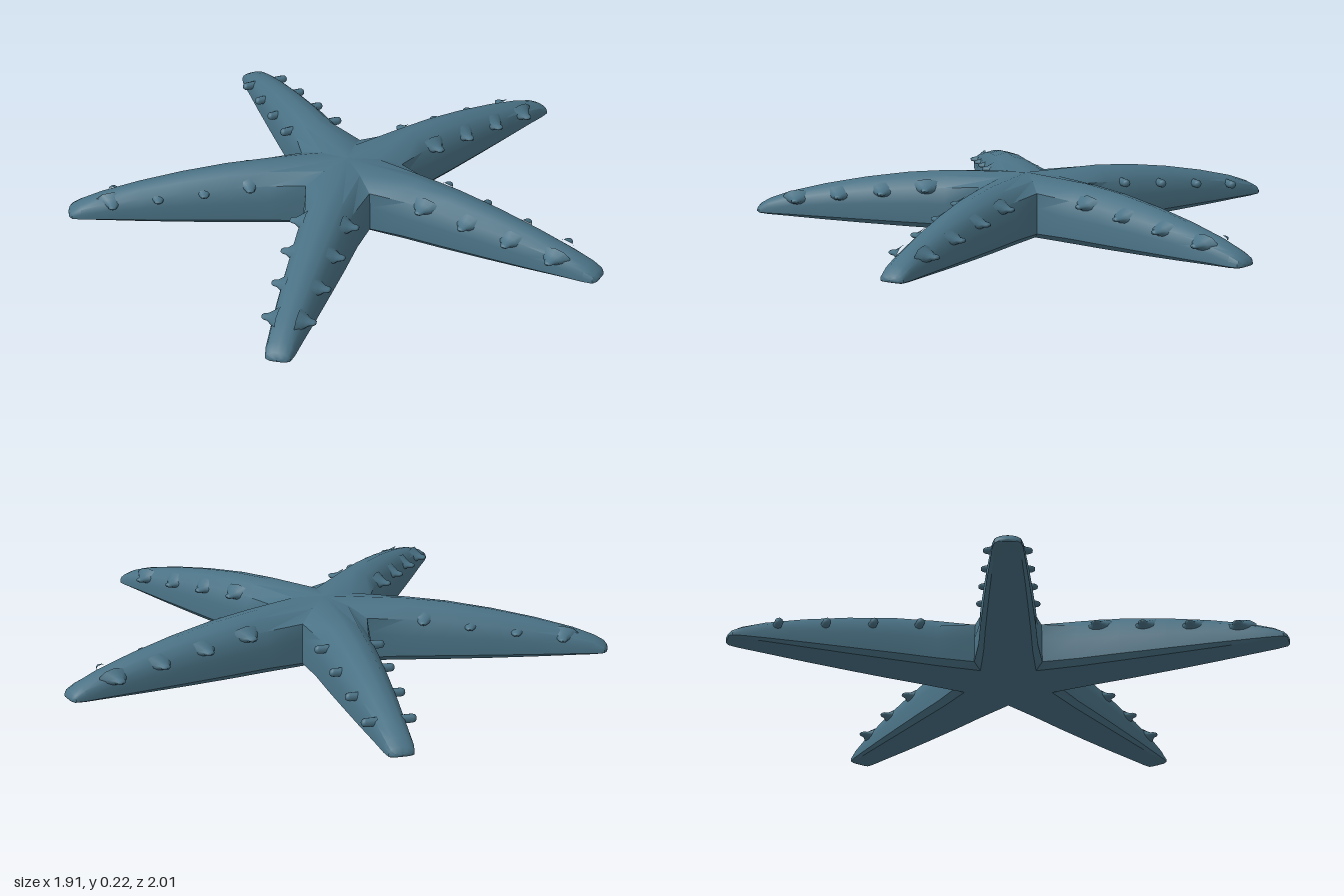
import * as THREE from 'three';
import { toCreasedNormals } from 'three/addons/utils/BufferGeometryUtils.js';

const material = new THREE.MeshStandardMaterial({ color: 0x4a7285 });

// Stations along one arm: distance, half-width, underside, ridge height
const STATIONS = [
  [0, 0.123, 0.005, 0.222], [0.3, 0.106, 0.008, 0.222], [0.45, 0.097, 0.012, 0.211],
  [0.62, 0.084, 0.018, 0.187], [0.78, 0.071, 0.025, 0.156], [0.92, 0.058, 0.032, 0.121],
  [1.0, 0.051, 0.036, 0.092], [1.035, 0.044, 0.039, 0.072], [1.046, 0.03, 0.043, 0.06],
];
// Half cross-sections (side, height), boxy at the root and rounder along the arm
const ROOT = [[0, 0], [0.82, 0.02], [1, 0.12], [1, 0.55], [0.98, 0.82], [0.55, 0.95], [0, 1]];
const ARM = [[0, 0], [0.82, 0.02], [1, 0.12], [0.99, 0.48], [0.84, 0.76], [0.48, 0.94], [0, 1]];

// Arm lofted along +x; the first ring is mitred so five arms meet exactly
function armGeometry() {
  const rings = STATIONS.map(([u, w, low, high], i) => {
    const half = (i === 0 ? ROOT : ARM).map(([s, t]) => [s * w, low + t * (high - low)]);
    const mirrored = half.slice(1, -1).reverse().map(([v, y]) => [-v, y]);
    return [...half, ...mirrored].map(([v, y]) =>
      [i === 0 ? Math.abs(v) / Math.tan(Math.PI / 5) : u, y, v]);
  });
  const n = rings[0].length, positions = rings.flat(2), index = [];
  for (let i = 0; i < rings.length - 1; i++) {
    for (let j = 0; j < n; j++) {
      const k = (j + 1) % n;
      const a = i * n + j, b = a + n, c = (i + 1) * n + k, d = i * n + k;
      index.push(a, b, c, a, c, d);
    }
  }
  // Blunt tip
  const last = (rings.length - 1) * n;
  positions.push(1.05, 0.051, 0);
  for (let j = 0; j < n; j++) index.push(rings.length * n, last + (j + 1) % n, last + j);
  const geometry = new THREE.BufferGeometry();
  geometry.setAttribute('position', new THREE.Float32BufferAttribute(positions, 3));
  geometry.setIndex(index);
  return toCreasedNormals(geometry, 0.6);
}

// Flared bump and plain rounded peg, both rising along +y with the top at y = 0
const bump = new THREE.LatheGeometry(
  [[0.07, -0.062], [0.04, -0.04], [0.022, -0.024], [0.017, -0.008], [0.01, -0.001], [0, 0]]
    .map(([r, y]) => new THREE.Vector2(r, y)), 10);
const peg = new THREE.CapsuleGeometry(0.016, 0.045, 3, 8).translate(0, -0.0385, 0);

// Spines along an arm: distance, reach to the side, height
const SPINES = [[0.37, 0.128, 0.163], [0.54, 0.117, 0.143], [0.71, 0.106, 0.122], [0.88, 0.096, 0.1]];

export function createModel() {
  const group = new THREE.Group();
  group.name = 'starfish';
  const geometry = armGeometry();
  for (let a = 0; a < 5; a++) {
    const arm = new THREE.Group();
    arm.name = 'arm' + (a + 1);
    arm.position.x = -0.1;
    arm.rotation.y = a * Math.PI * 2 / 5;
    const body = new THREE.Mesh(geometry, material);
    body.name = 'armBody';
    arm.add(body);

    // The back right arm has pegs, the front right arm has lower bumps
    const isPeg = a === 2, sunk = a === 3 ? 0.014 : 0;
    for (const [u, reach, y] of SPINES) {
      for (const side of [-1, 1]) {
        const spine = new THREE.Mesh(isPeg ? peg : bump, material);
        spine.name = 'spine';
        spine.position.set(u, y, side * (reach - sunk));
        spine.rotation.x = side * Math.PI / 2;
        if (!isPeg) spine.scale.set(0.9, 1, 0.5);
        arm.add(spine);
      }
    }
    group.add(arm);
  }
  return group;
}
